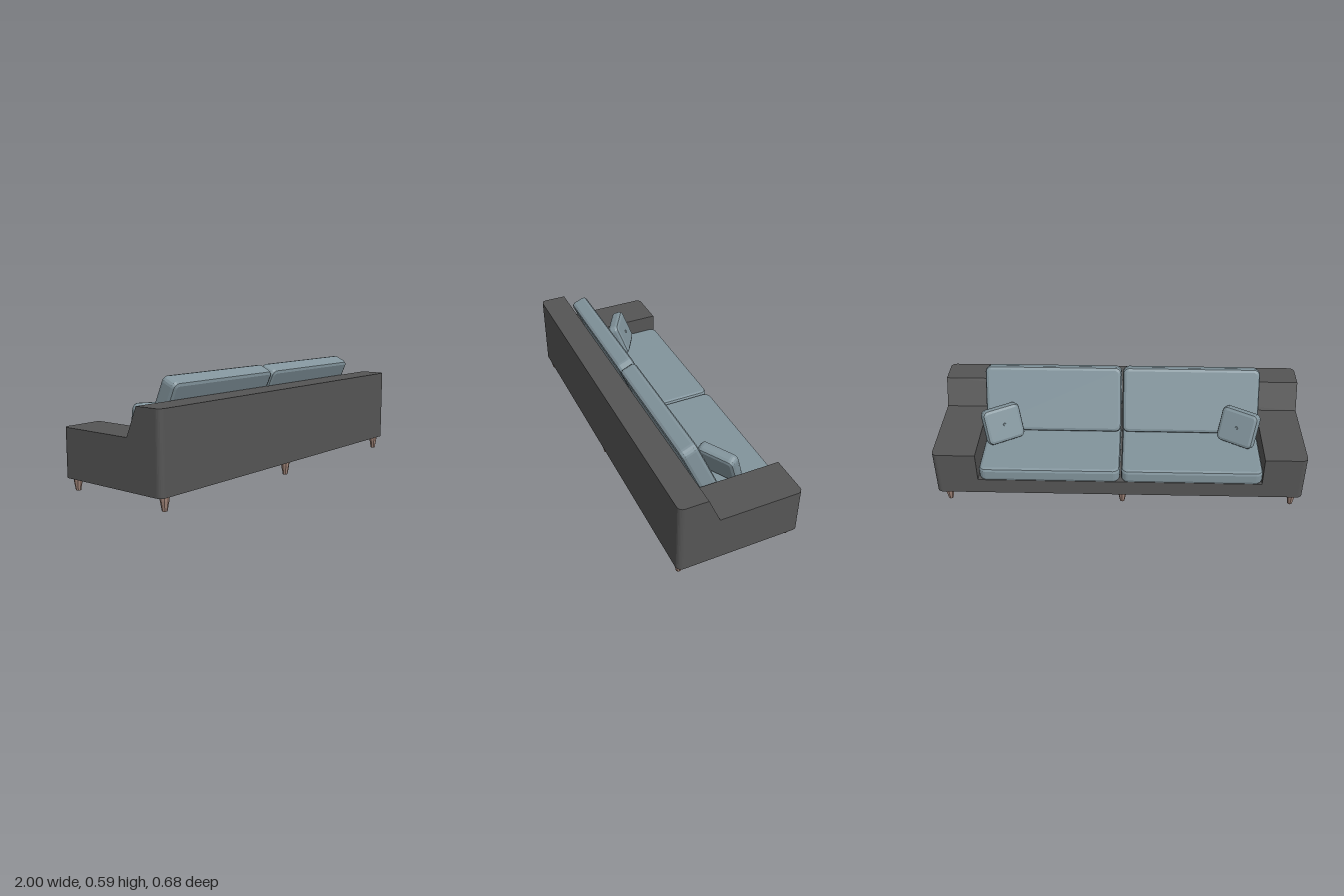
import * as THREE from 'three';

const frameMat = new THREE.MeshStandardMaterial({ color: 0x555555, flatShading: true });
const cushionMat = new THREE.MeshStandardMaterial({ color: 0x82949c, flatShading: true });
const legMat = new THREE.MeshStandardMaterial({ color: 0xa08478, flatShading: true });

const HALF_DEPTH = 0.335, CORNER = 0.03;

// Rectangle with rounded corners, centred on the origin
function roundedRect(w, h, r) {
  const x = w / 2, y = h / 2, s = new THREE.Shape();
  s.absarc(x - r, y - r, r, 0, Math.PI / 2);
  s.absarc(-x + r, y - r, r, Math.PI / 2, Math.PI);
  s.absarc(-x + r, -y + r, r, Math.PI, Math.PI * 1.5);
  s.absarc(x - r, -y + r, r, Math.PI * 1.5, Math.PI * 2);
  return s;
}

// Upright slab: a plan outline (shape y = -z) raised from y0 to y1
function slab(plan, y0, y1) {
  const g = new THREE.ExtrudeGeometry(plan, { depth: y1 - y0, bevelEnabled: false, curveSegments: 3 });
  return g.rotateX(-Math.PI / 2).translate(0, y0, 0);
}

// Soft pad with chamfered edges: width x, height y, thickness z
function pad(w, h, t, bevel, r) {
  const shape = roundedRect(w - 2 * bevel, h - 2 * bevel, r);
  const g = new THREE.ExtrudeGeometry(shape, {
    depth: t - 2 * bevel, bevelThickness: bevel, bevelSize: bevel, bevelSegments: 2, curveSegments: 2,
  });
  return g.translate(0, 0, -(t - 2 * bevel) / 2);
}

function add(parent, name, geometry, material, x = 0, y = 0, z = 0) {
  const m = new THREE.Mesh(geometry, material);
  m.name = name;
  m.position.set(x, y, z);
  parent.add(m);
  return m;
}

export function createModel() {
  const sofa = new THREE.Group();
  sofa.name = 'sofa';

  // Base plinth
  add(sofa, 'base', slab(roundedRect(2, HALF_DEPTH * 2, CORNER), 0.07, 0.16), frameMat);

  // Arms joined by the lower back: a U-shaped plan open towards -z
  const D = HALF_DEPTH, r = CORNER, u = new THREE.Shape();
  u.absarc(-1 + r, -D + r, r, Math.PI, Math.PI * 1.5);
  u.absarc(1 - r, -D + r, r, Math.PI * 1.5, Math.PI * 2);
  u.absarc(1 - r, D - r, r, 0, Math.PI / 2);
  u.lineTo(0.767, D);
  u.lineTo(0.767, -0.12);
  u.lineTo(-0.772, -0.12);
  u.lineTo(-0.772, D);
  u.absarc(-1 + r, D - r, r, Math.PI / 2, Math.PI);
  add(sofa, 'arms', slab(u, 0.16, 0.325), frameMat);

  // Upper back, its seat-side face leaning away as it rises
  const b = new THREE.Shape();
  b.absarc(-1 + r, -D + r, r, Math.PI, Math.PI * 1.5);
  b.absarc(1 - r, -D + r, r, Math.PI * 1.5, Math.PI * 2);
  b.lineTo(1, -0.12);
  b.lineTo(-1, -0.12);
  const back = slab(b, 0.325, 0.475), p = back.attributes.position;
  for (let i = 0; i < p.count; i++) {
    if (p.getY(i) > 0.4 && p.getZ(i) < 0.13) p.setZ(i, 0.185);
  }
  back.computeVertexNormals();
  add(sofa, 'backrest', back, frameMat);

  // Seat and back cushions, one pair per half
  for (const [side, x] of [['right', -0.392], ['left', 0.378]]) {
    const seat = pad(0.762, 0.44, 0.08, 0.018, 0.02).rotateX(-Math.PI / 2);
    add(sofa, side + 'SeatCushion', seat, cushionMat, x, 0.197, -0.12);
    const rest = add(sofa, side + 'BackCushion', pad(0.764, 0.37, 0.095, 0.02, 0.015), cushionMat, x, 0.407, 0.098);
    rest.rotation.x = 0.412;
  }

  // Throw pillows with a centre button, turned inwards
  for (const s of [-1, 1]) {
    const pillow = new THREE.Group();
    pillow.name = s < 0 ? 'rightPillow' : 'leftPillow';
    add(pillow, 'pillow', pad(0.215, 0.2, 0.066, 0.02, 0.012), cushionMat);
    const button = new THREE.CylinderGeometry(0.007, 0.01, 0.006, 8).rotateX(-Math.PI / 2);
    add(pillow, 'button', button, cushionMat, 0, 0, -0.034);
    pillow.position.set(0.655 * s, 0.338, -0.06);
    pillow.rotation.set(0.38, s * Math.PI / 6, 0, 'YXZ');
    sofa.add(pillow);
  }

  // Tapered legs: three along each long side
  const profile = [[0, 0], [0.013, 0], [0.022, 0.05], [0.023, 0.072]].map(([x, y]) => new THREE.Vector2(x, y));
  const leg = new THREE.LatheGeometry(profile, 8);
  for (const x of [-0.945, -0.017, 0.94]) {
    for (const z of [-0.302, 0.302]) add(sofa, 'leg', leg, legMat, x, 0, z);
  }

  return sofa;
}
